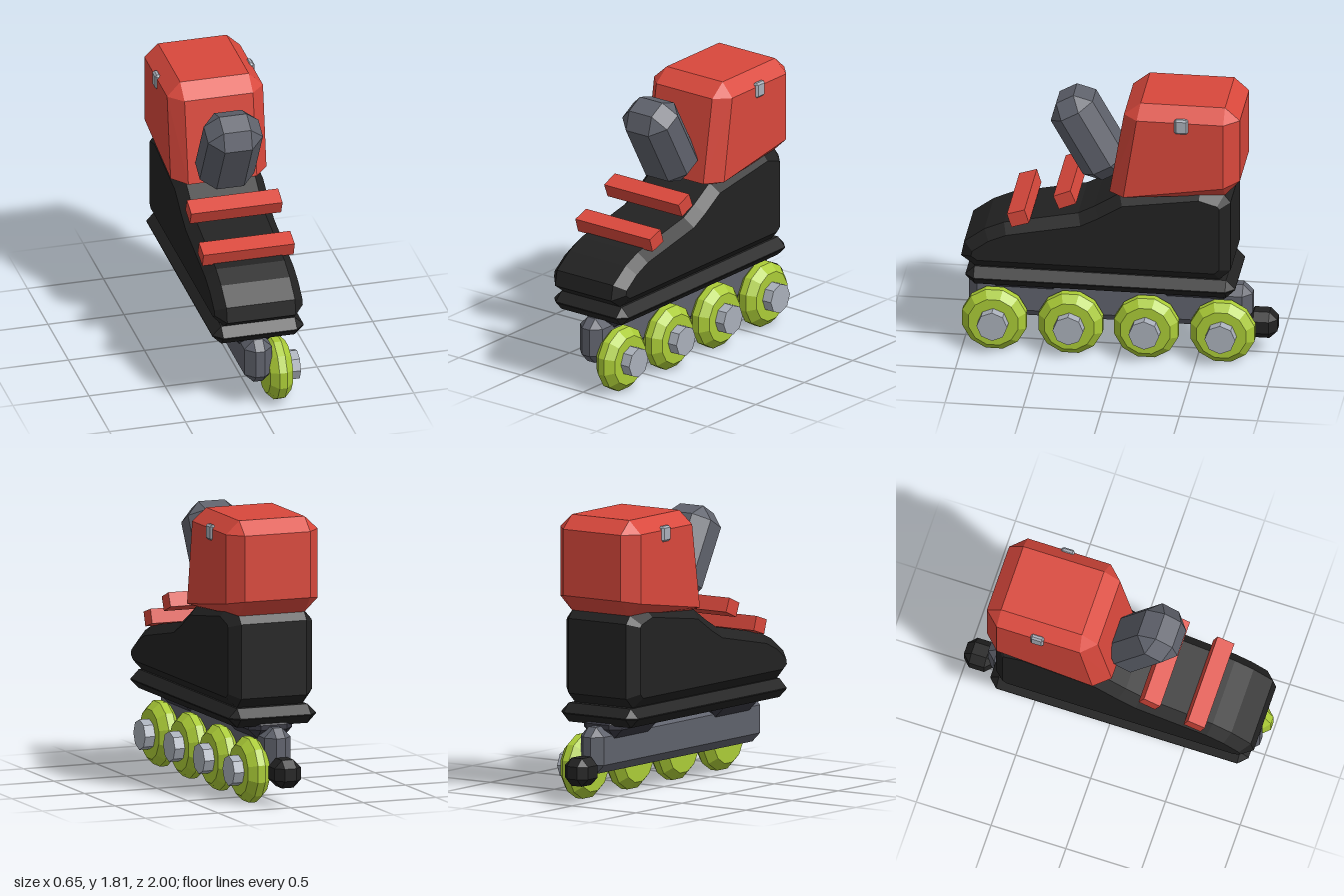
import * as THREE from 'three';
import { ConvexGeometry } from 'three/addons/geometries/ConvexGeometry.js';

function material(name, color) {
  const m = new THREE.MeshStandardMaterial({ color });
  m.name = name;
  return m;
}

function flat(geometry) {
  const g = geometry.index ? geometry.toNonIndexed() : geometry;
  g.computeVertexNormals();
  return g;
}

// Box with every edge cut at 45 degrees
function chamferBox(w, h, d, c) {
  const points = [];
  for (const sx of [-1, 1]) for (const sy of [-1, 1]) for (const sz of [-1, 1]) {
    const x = w / 2, y = h / 2, z = d / 2;
    points.push(
      new THREE.Vector3(sx * x, sy * (y - c), sz * (z - c)),
      new THREE.Vector3(sx * (x - c), sy * y, sz * (z - c)),
      new THREE.Vector3(sx * (x - c), sy * (y - c), sz * z));
  }
  return new ConvexGeometry(points);
}

export function createModel() {
  const red = material('red shell', 0xd9483c);
  const black = material('black boot', 0x222222);
  const green = material('lime wheel', 0xabcc37);
  const gray = material('gray frame', 0x5f626c);
  const dark = material('dark mount', 0x383842);
  const silver = material('silver metal', 0xaab0ba);

  const group = new THREE.Group();
  group.name = 'inlineSkate';
  const add = (name, geometry, mat, x = 0, y = 0, z = 0, tilt = 0) => {
    const mesh = new THREE.Mesh(geometry, mat);
    mesh.name = name;
    mesh.position.set(x, y, z);
    mesh.rotation.x = tilt;
    group.add(mesh);
    return mesh;
  };

  // Boot: side profile (z, y) extruded across the width with a bevel
  const profile = [[-0.655, 0.605], [0.91, 0.605], [1, 0.67], [0.98, 0.77], [0.85, 0.865],
    [0.725, 0.92], [0.25, 1.015], [0.145, 1.07], [-0.015, 1.17], [-0.535, 1.245],
    [-0.685, 1.2], [-0.725, 1.15], [-0.725, 0.67]];
  const shape = new THREE.Shape(profile.map(([z, y]) => new THREE.Vector2(z, y)));
  const boot = new THREE.ExtrudeGeometry(shape, {
    depth: 0.45, bevelEnabled: true, bevelSegments: 1,
    bevelSize: 0.065, bevelThickness: 0.065, bevelOffset: -0.065,
  });
  boot.translate(0, 0, -0.225).rotateY(-Math.PI / 2);
  add('boot', boot, black);

  // Cuff: narrow outer outline joined to a wider, smaller side panel
  const cuffOuter = [[0.05, 1.18], [-0.043, 1.73], [-0.15, 1.815], [-0.69, 1.815],
    [-0.785, 1.73], [-0.785, 1.305], [-0.69, 1.2], [-0.04, 1.155]];
  const cuffSide = [[-0.135, 1.73], [-0.69, 1.73], [-0.69, 1.285], [-0.05, 1.185]];
  const cuffPoints = [];
  for (const s of [-1, 1]) {
    for (const [z, y] of cuffOuter) cuffPoints.push(new THREE.Vector3(s * 0.225, y, z));
    for (const [z, y] of cuffSide) cuffPoints.push(new THREE.Vector3(s * 0.315, y, z));
  }
  add('cuff', new ConvexGeometry(cuffPoints), red);

  // Side buckles
  for (const s of [-1, 1]) {
    add('buckle', chamferBox(0.04, 0.1, 0.088, 0.012), silver, s * 0.307, 1.705, -0.42);
  }

  // Tongue and straps
  add('tongue', chamferBox(0.36, 0.6, 0.307, 0.09), gray, 0, 1.482, 0.207, 0.515);
  add('toeStrap', new THREE.BoxGeometry(0.6, 0.095, 0.118), red, 0, 0.987, 0.626, 0.31);
  add('ankleStrap', new THREE.BoxGeometry(0.6, 0.095, 0.118), red, 0, 1.137, 0.327, 0.39);

  // Sole, mounts, frame and heel brake
  add('sole', chamferBox(0.6, 0.122, 1.727, 0.058), black, 0, 0.545, 0.107);
  add('frontMount', chamferBox(0.3, 0.15, 0.485, 0.06), dark, 0, 0.475, 0.612);
  add('rearMount', chamferBox(0.3, 0.15, 0.485, 0.06), dark, 0, 0.475, -0.482);
  add('frame', chamferBox(0.18, 0.3, 1.815, 0.06), gray, 0, 0.33, 0.067);
  add('brake', chamferBox(0.18, 0.18, 0.2, 0.05), black, 0, 0.21, -0.9);

  // Wheels with hubs, turned about the x axis
  const wheelProfile = [[0, -0.075], [0.163, -0.075], [0.212, -0.025], [0.212, 0.025],
    [0.163, 0.075], [0, 0.075]].map(([r, x]) => new THREE.Vector2(r, x));
  const wheel = flat(new THREE.LatheGeometry(wheelProfile, 12, Math.PI / 12));
  wheel.rotateZ(-Math.PI / 2);
  const hub = flat(new THREE.CylinderGeometry(0.098, 0.098, 0.1, 8));
  hub.rotateZ(-Math.PI / 2);
  for (const z of [0.795, 0.308, -0.178, -0.665]) {
    add('wheel', wheel, green, 0.145, 0.205, z);
    add('hub', hub, silver, 0.238, 0.205, z);
  }
  return group;
}
